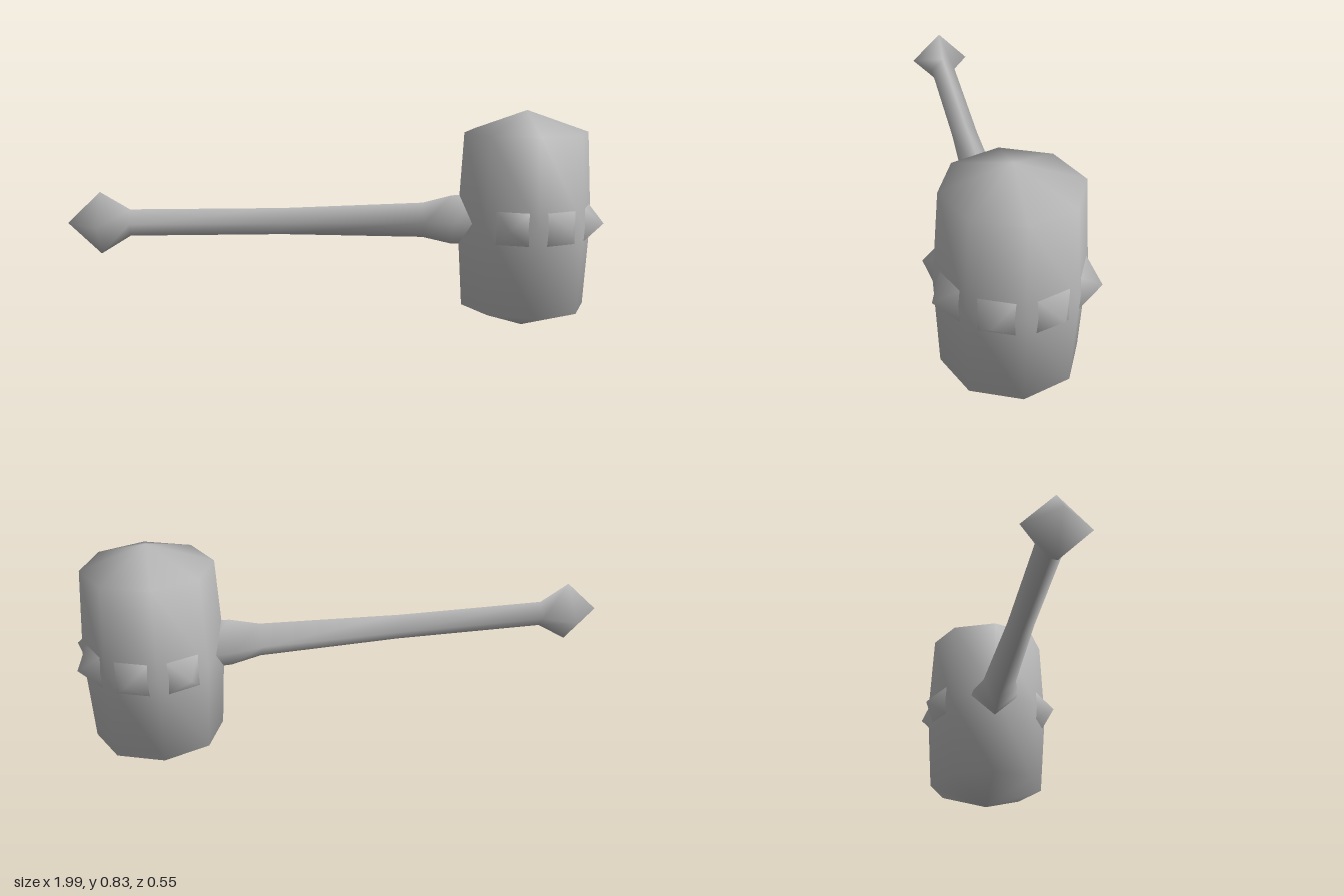
import * as THREE from 'three';
import { mergeVertices } from 'three/addons/utils/BufferGeometryUtils.js';

const grey = new THREE.MeshStandardMaterial({ color: 0xbababa });
grey.name = 'plain grey';

const MID_Y = 0.415;
const HEAD_X = 0.72;

// Weld seams so the low-poly forms shade smoothly
function smooth(geometry) {
  geometry.deleteAttribute('normal');
  geometry.deleteAttribute('uv');
  const welded = mergeVertices(geometry, 1e-4);
  welded.computeVertexNormals();
  return welded;
}

// Low-poly turned form from [radius, height] pairs, bottom to top
function turned(profile, sides) {
  const points = profile.map(([r, h]) => new THREE.Vector2(r, h));
  return smooth(new THREE.LatheGeometry(points, sides));
}

function part(name, geometry) {
  const mesh = new THREE.Mesh(geometry, grey);
  mesh.name = name;
  return mesh;
}

export function createModel() {
  const model = new THREE.Group();
  model.name = 'spikedHammer';

  // Barrel-shaped eight-sided head with pointed caps
  const head = part('head', turned(
    [[0, 0], [0.236, 0.083], [0.256, MID_Y], [0.236, 0.747], [0, 0.83]], 8));
  head.position.x = HEAD_X;
  model.add(head);

  // Four-sided handle with a diamond pommel, flaring into the head
  const handle = part('handle', turned(
    [[0, -1], [0.117, -0.88], [0.05, -0.77], [0.05, -0.2], [0.066, 0.33], [0.093, 0.44], [0.098, 0.56], [0, 0.6]], 4));
  handle.rotation.z = -Math.PI / 2;
  handle.position.y = MID_Y;
  model.add(handle);

  // Square spikes on the six faces away from the handle
  const spikes = new THREE.Group();
  spikes.name = 'spikes';
  const spikeGeometry = new THREE.ConeGeometry(0.064 * Math.SQRT2, 0.067, 4, 1, true);
  spikeGeometry.rotateY(Math.PI / 4);
  spikeGeometry.rotateZ(-Math.PI / 2);
  spikeGeometry.translate(0.2635, 0, 0);
  const spikeShape = smooth(spikeGeometry);
  for (let i = -3; i < 3; i++) {
    const spike = part('spike', spikeShape);
    spike.position.set(HEAD_X, MID_Y, 0);
    spike.rotation.y = (i + 0.5) * Math.PI / 4;
    spikes.add(spike);
  }
  model.add(spikes);

  return model;
}
